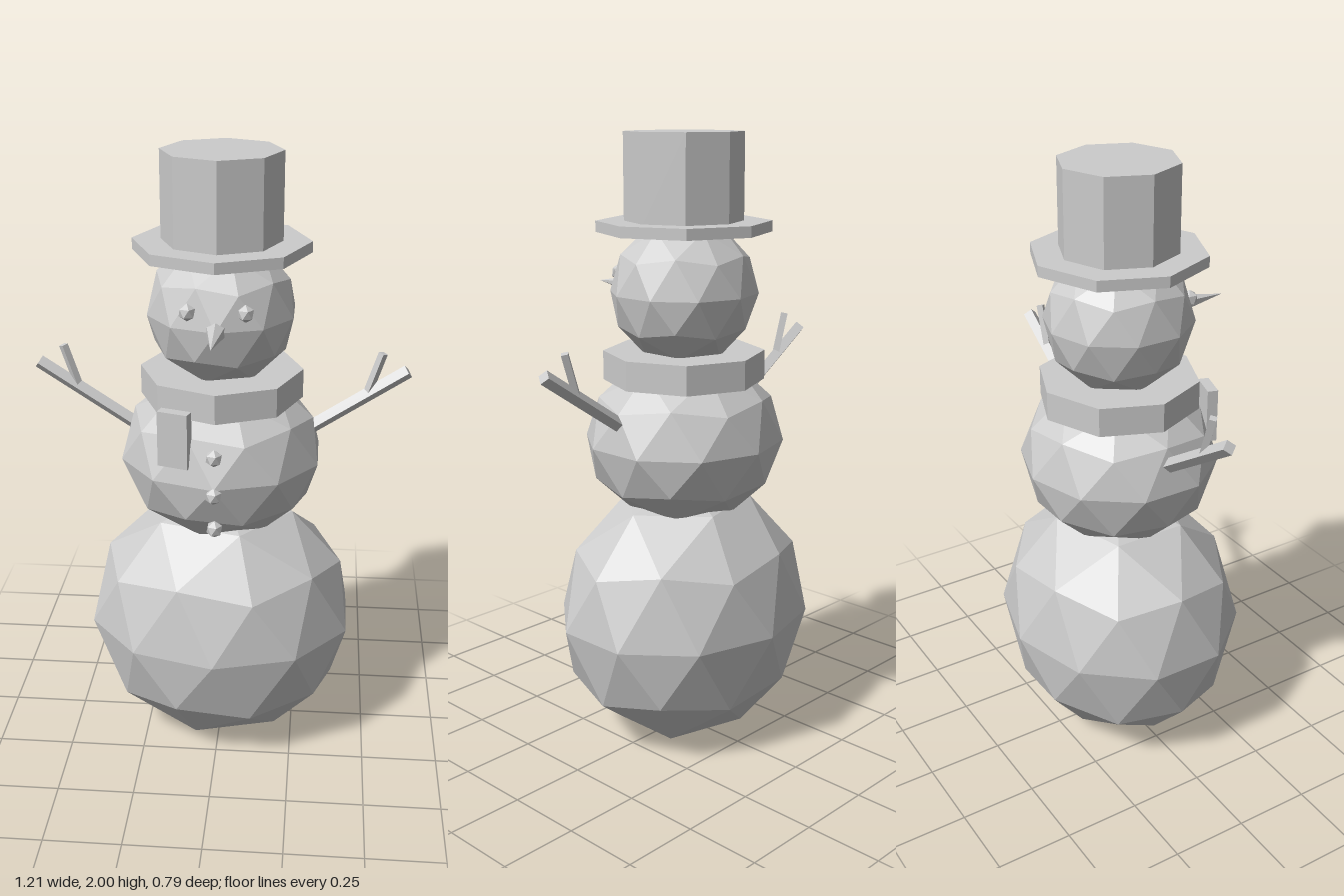
import * as THREE from 'three';

const grey = new THREE.MeshStandardMaterial({ color: 0xcccccc, flatShading: true });
grey.name = 'stone grey';

function add(group, name, geometry, x = 0, y = 0, z = 0) {
  const mesh = new THREE.Mesh(geometry, grey);
  mesh.name = name;
  mesh.position.set(x, y, z);
  group.add(mesh);
  return mesh;
}

// Icosphere standing on a pole vertex, so ten corners ring its equator
function icosphere(rx, ry, rz, detail = 1) {
  const points = [0, 1, 0];
  const faces = [];
  const ring = (offset, y) => {
    for (let i = 0; i < 5; i++) {
      const a = offset + i * Math.PI * 0.4;
      points.push(Math.cos(a) * 2 / Math.sqrt(5), y, -Math.sin(a) * 2 / Math.sqrt(5));
    }
  };
  ring(0, 1 / Math.sqrt(5));
  ring(Math.PI / 5, -1 / Math.sqrt(5));
  points.push(0, -1, 0);
  for (let i = 0; i < 5; i++) {
    const j = (i + 1) % 5;
    faces.push(0, 1 + i, 1 + j, 1 + i, 6 + i, 1 + j, 1 + j, 6 + i, 6 + j, 11, 6 + j, 6 + i);
  }
  const g = new THREE.PolyhedronGeometry(points, faces, 1, detail);
  g.scale(rx, ry, rz);
  g.computeVertexNormals();
  return g;
}

// Slice a closed ball off at y = 0 and cap the cut
function cutAtGround(source) {
  const p = source.attributes.position;
  const out = [];
  const push = (...vs) => vs.forEach((v) => out.push(v.x, v.y, v.z));
  const cross = (a, b) => a.clone().lerp(b, a.y / (a.y - b.y));
  const centre = new THREE.Vector3();
  for (let i = 0; i < p.count; i += 3) {
    const t = [0, 1, 2].map((k) => new THREE.Vector3().fromBufferAttribute(p, i + k));
    const low = t.findIndex((v) => v.y < 0);
    if (low < 0) { push(...t); continue; }
    const a = t[low], b = t[(low + 1) % 3], c = t[(low + 2) % 3];
    const ab = cross(b, a), ac = cross(c, a);
    push(ab, b, c, ab, c, ac, centre, ab, ac);
  }
  const g = new THREE.BufferGeometry();
  g.setAttribute('position', new THREE.Float32BufferAttribute(out, 3));
  g.computeVertexNormals();
  return g;
}

// Four-sided stick between two points in the xy plane
function stick(group, name, x0, y0, x1, y1, radius) {
  const dx = x1 - x0, dy = y1 - y0;
  const geometry = new THREE.CylinderGeometry(radius, radius, Math.hypot(dx, dy), 4);
  const mesh = add(group, name, geometry, (x0 + x1) / 2, (y0 + y1) / 2, 0);
  mesh.rotation.z = Math.atan2(-dx, dy);
}

export function createModel() {
  const model = new THREE.Group();
  model.name = 'snowman';

  // Three snowballs
  const base = icosphere(0.452, 0.45, 0.393);
  base.translate(0, 0.42, 0);
  add(model, 'baseSnowball', cutAtGround(base));
  add(model, 'torsoSnowball', icosphere(0.333, 0.28, 0.322), 0, 1.02, 0);
  add(model, 'head', icosphere(0.24, 0.235, 0.24), 0, 1.5, 0);

  // Hat
  add(model, 'hatBrim', new THREE.CylinderGeometry(0.28, 0.28, 0.035, 8), 0, 1.708, 0);
  add(model, 'hatCrown', new THREE.CylinderGeometry(0.19, 0.19, 0.285, 8), 0, 1.8575, 0);

  // Scarf with a hanging tail
  add(model, 'scarf', new THREE.CylinderGeometry(0.262, 0.262, 0.095, 8), 0, 1.2625, 0);
  const tail = add(model, 'scarfTail', new THREE.BoxGeometry(0.1, 0.18, 0.035), -0.125, 1.165, 0.263);
  tail.rotation.y = -0.3;

  // Nose
  const nose = new THREE.ConeGeometry(0.038, 0.207, 6);
  nose.rotateX(Math.PI / 2);
  add(model, 'nose', nose, 0, 1.5, 0.292);

  // Coal buttons
  for (const [y, z] of [[1.12, 0.3], [1, 0.317], [0.872, 0.287]]) {
    add(model, 'button', icosphere(0.028, 0.028, 0.028, 0), 0, y, z);
  }

  // Eyes and twig arms on both sides
  for (const s of [-1, 1]) {
    const side = s > 0 ? 'left' : 'right';
    add(model, side + 'Eye', icosphere(0.028, 0.028, 0.028, 0), s * 0.088, 1.553, 0.205);
    stick(model, side + 'Arm', s * 0.22, 1.065, s * 0.594, 1.312, 0.023);
    stick(model, side + 'Twig', s * 0.465, 1.225, s * 0.512, 1.37, 0.015);
  }
  return model;
}
